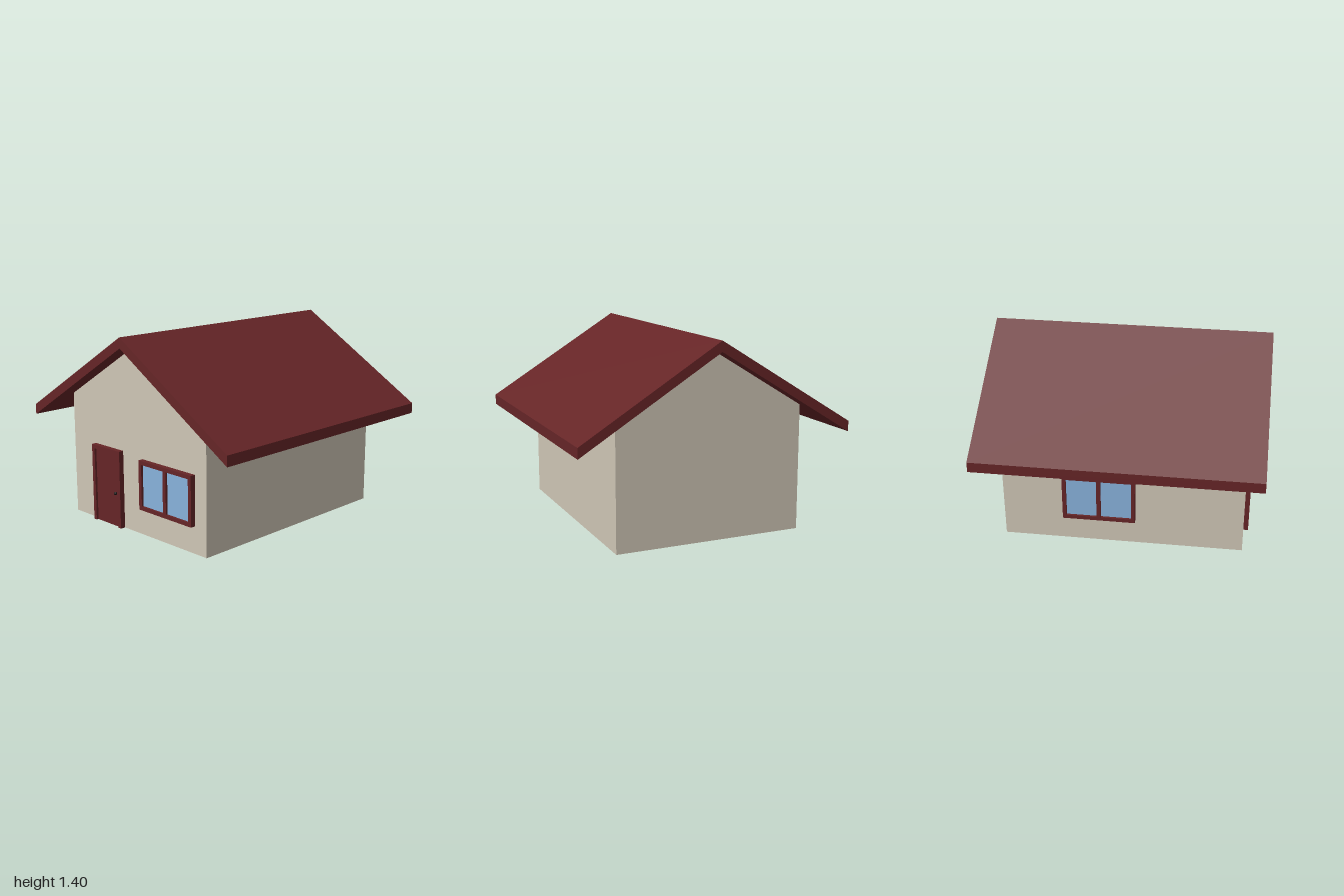
import * as THREE from 'three';

const mat = (name, color, extra = {}) => {
  const m = new THREE.MeshStandardMaterial({ color, ...extra });
  m.name = name;
  return m;
};

export function createModel() {
  const wallPaint = mat('beige wall', 0xcfc6b6);
  const redPaint = mat('dark red', 0x662527);
  const glassBlue = mat('blue glass', 0x88b2dc);
  const handleBlack = mat('black handle', 0x181414);

  const house = new THREE.Group();
  house.name = 'house';

  const add = (parent, name, geometry, material, x = 0, y = 0, z = 0) => {
    const mesh = new THREE.Mesh(geometry, material);
    mesh.name = name;
    mesh.position.set(x, y, z);
    parent.add(mesh);
    return mesh;
  };
  const polygon = (points) => new THREE.Shape(points.map(([x, y]) => new THREE.Vector2(x, y)));
  const rectangle = (x0, y0, x1, y1) => polygon([[x0, y0], [x1, y0], [x1, y1], [x0, y1]]);
  const extrude = (shape, depth) =>
    new THREE.ExtrudeGeometry(shape, { depth, bevelEnabled: false });
  // Gable profile extruded along x
  const alongX = (points, x0, x1) =>
    extrude(polygon(points), x1 - x0).rotateY(Math.PI / 2).translate(x0, 0, 0);

  // Walls with gable ends, kept just under the roof slab
  const gable = 1.328, eave = 0.904, halfDepth = 0.692;
  add(house, 'walls', alongX([
    [-halfDepth, 0], [halfDepth, 0], [halfDepth, eave], [0, gable], [-halfDepth, eave],
  ], -0.875, 0.85), wallPaint);

  // Pitched roof slab with overhanging eaves
  add(house, 'roof', alongX([
    [-1, 0.715], [0, 1.33], [1, 0.715], [1, 0.79], [0, 1.405], [-1, 0.79],
  ], -1, 1), redPaint);

  const depth = 0.038;

  // Two-pane window, facing local +z
  const makeWindow = (name) => {
    const group = new THREE.Group();
    group.name = name;
    const w = 0.26, h = 0.178, bar = 0.028, mullion = 0.015;
    const frame = rectangle(-w, -h, w, h);
    for (const [a, b] of [[-w + bar, -mullion], [mullion, w - bar]]) {
      frame.holes.push(rectangle(a, -h + bar, b, h - bar));
      add(group, 'glass pane', new THREE.BoxGeometry(b - a, 2 * (h - bar), 0.008),
        glassBlue, (a + b) / 2, 0, 0.018);
    }
    add(group, 'window frame', extrude(frame, depth), redPaint);
    house.add(group);
    return group;
  };

  const backWindow = makeWindow('backWindow');
  backWindow.position.set(0.155, 0.373, -halfDepth);
  backWindow.rotation.y = Math.PI;

  const sideWindow = makeWindow('sideWindow');
  sideWindow.position.set(-0.875, 0.373, 0.325);
  sideWindow.rotation.y = -Math.PI / 2;

  // Door with a recessed panel and a handle, facing local +z
  const door = new THREE.Group();
  door.name = 'door';
  const dw = 0.152, dh = 0.57, jamb = 0.028;
  add(door, 'door frame', extrude(polygon([
    [-dw, 0], [-dw + jamb, 0], [-dw + jamb, dh - jamb], [dw - jamb, dh - jamb],
    [dw - jamb, 0], [dw, 0], [dw, dh], [-dw, dh],
  ]), depth), redPaint);
  add(door, 'door panel', new THREE.BoxGeometry(2 * (dw - jamb), dh - jamb, 0.022),
    redPaint, 0, (dh - jamb) / 2, 0.011);
  add(door, 'door handle', new THREE.SphereGeometry(0.011, 12, 8), handleBlack, 0.095, 0.25, 0.033);
  door.position.set(-0.875, 0, -0.293);
  door.rotation.y = -Math.PI / 2;
  house.add(door);

  return house;
}
